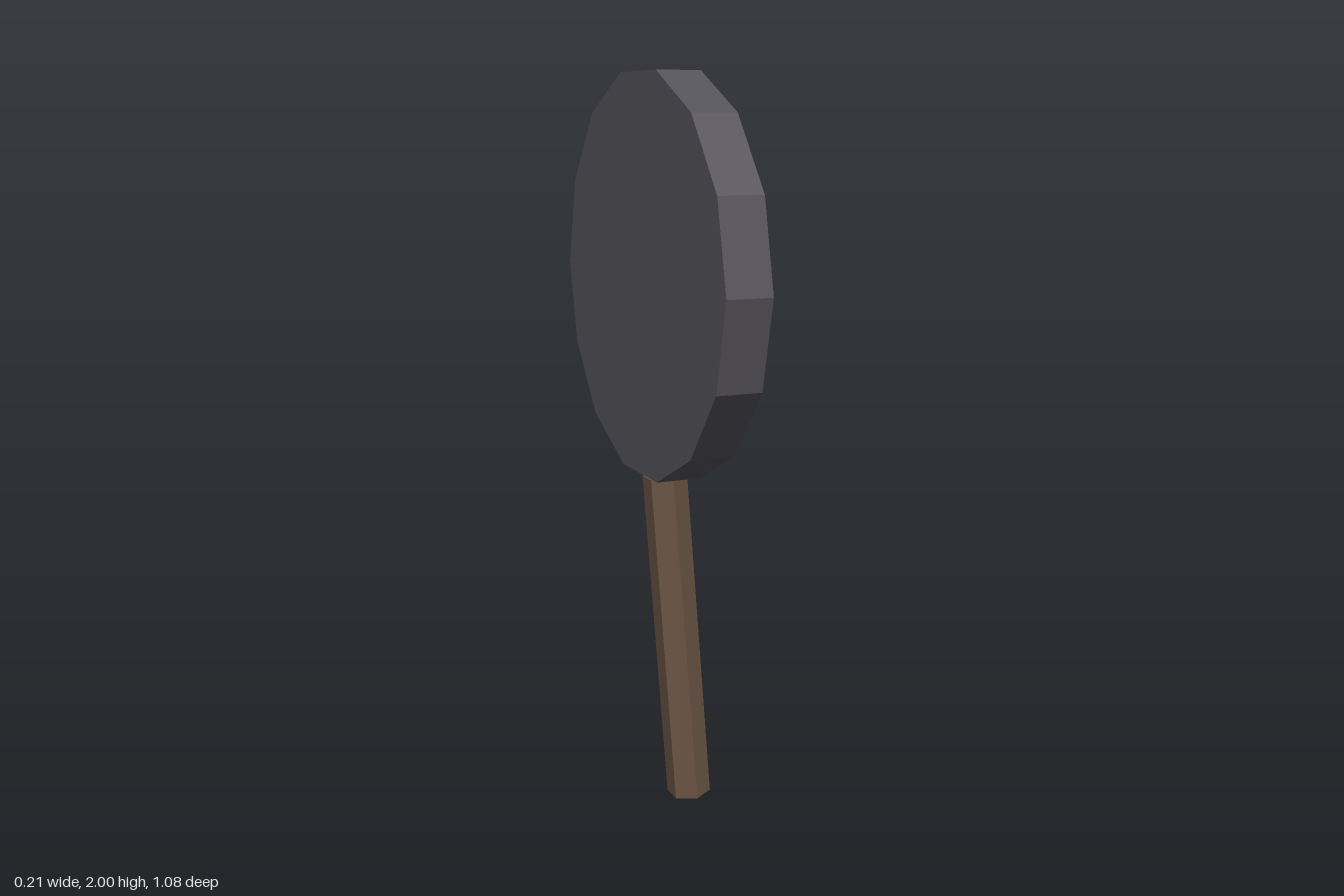
import * as THREE from 'three';

const mat = (color) => new THREE.MeshStandardMaterial({ color, flatShading: true });

export function createModel() {
  const model = new THREE.Group();

  const add = (name, geometry, material, x, y, z, tilt) => {
    const mesh = new THREE.Mesh(geometry, material);
    mesh.name = name;
    mesh.position.set(x, y, z);
    mesh.rotation.z = tilt;
    model.add(mesh);
    return mesh;
  };
  const sideways = -Math.PI / 2; // turns a part's axis towards +x

  // Thick fourteen-sided disc with a thin raised face plate
  add('disc', new THREE.CylinderGeometry(0.538, 0.538, 0.122, 14), mat(0x55535a), -0.044, 1.475, 0, sideways);
  add('facePlate', new THREE.CylinderGeometry(0.464, 0.464, 0.04, 14), mat(0x62656b), 0.008, 1.475, 0, sideways);

  // Off-centre domed boss
  const profile = [[0.12, 0.022], [0.14, 0.034], [0.14, 0.05], [0.115, 0.06], [0.06, 0.071], [0, 0.073]]
    .map(([r, h]) => new THREE.Vector2(r, h));
  add('boss', new THREE.LatheGeometry(profile, 10), mat(0xc4c0b4), 0, 1.405, -0.05, sideways);

  // Flattened knob in the middle of the boss
  const knob = new THREE.SphereGeometry(0.058, 10, 6).rotateY(Math.PI / 2).scale(1, 0.55, 1);
  add('knob', knob, mat(0xc2a23e), 0.069, 1.405, -0.05, sideways);

  // Hexagonal handle, leaning slightly
  add('handle', new THREE.CylinderGeometry(0.061, 0.061, 0.937, 6), mat(0x6b5545), 0.0045, 0.472, 0, 0.078);

  return model;
}
